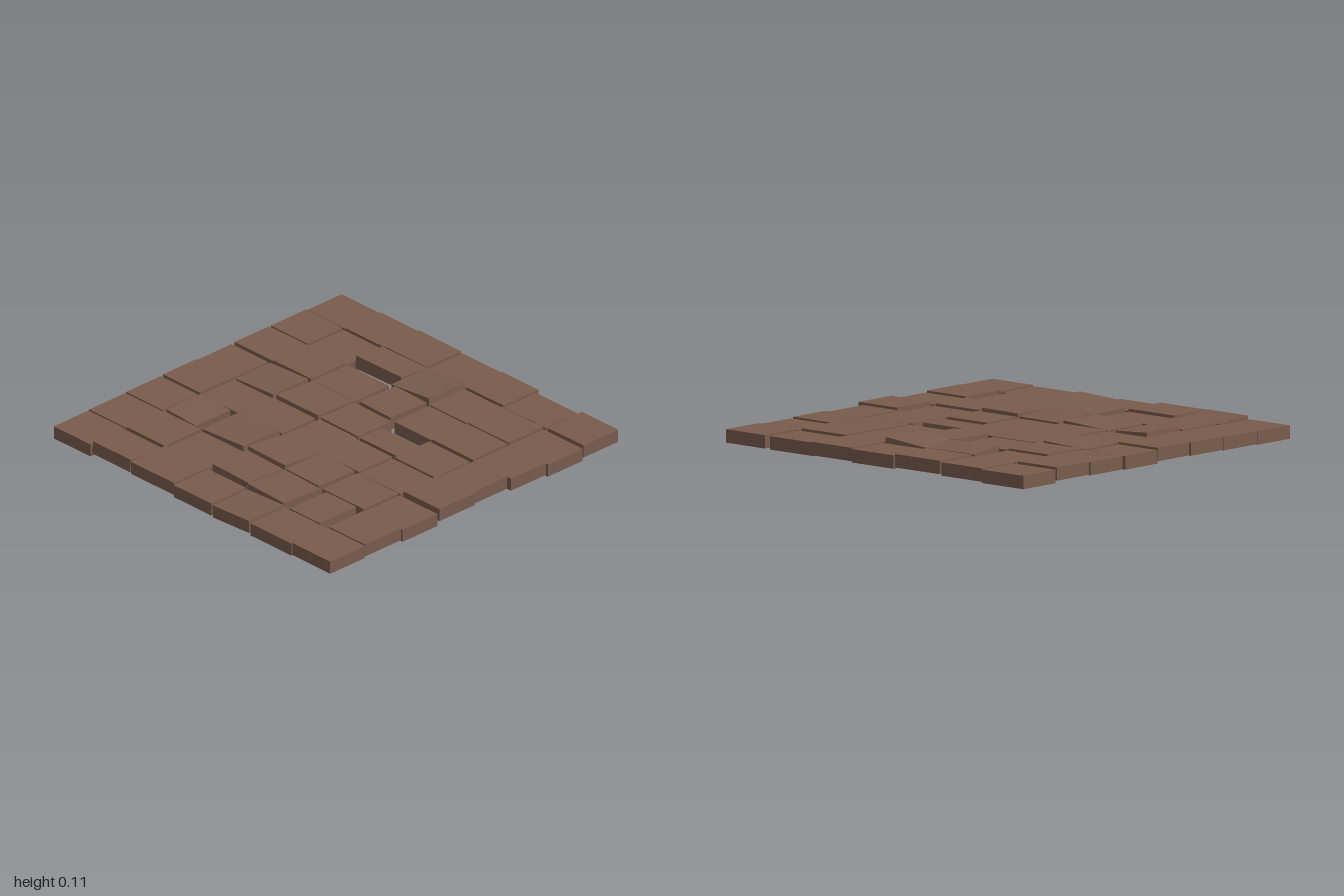
import * as THREE from 'three';

// Edges of the seven columns (x) and eight rows (z)
const COLS = [[-0.995, -0.73], [-0.72, -0.45], [-0.44, -0.14], [-0.13, 0.14], [0.15, 0.415], [0.42, 0.715], [0.725, 0.995]];
const ROWS = [[-1, -0.76], [-0.745, -0.505], [-0.5, -0.26], [-0.24, 0], [0.01, 0.24], [0.255, 0.495], [0.5, 0.75], [0.755, 0.995]];
const THICKNESS = 0.068;

// Tiles that are shifted, trimmed or tipped; keys are "row,column"
const ODD = {
  '0,0': { x: [-1, -0.72] },
  '0,3': { x: [-0.13, 0.15] },
  '0,5': { z: [-0.98, -0.76] },
  '0,6': { x: [0.73, 0.99] },
  '1,2': { z: [-0.75, -0.565], x: [-0.445, -0.13], yaw: 0.025, pitch: -0.1, y: 0.06 },
  '1,3': { z: [-0.76, -0.51], roll: 0.09, y: 0.062 },
  '1,6': { x: [0.72, 1], y: 0.037 },
  '2,0': { x: [-1, -0.72] },
  '2,3': { x: [-0.1, 0.13], z: [-0.5, -0.26], yaw: -0.03, y: 0.055 },
  '2,6': { x: [0.73, 0.99], y: 0.045 },
  '3,0': { x: [-1, -0.74] },
  '3,1': { roll: 0.05, y: 0.05 },
  '3,2': { z: [-0.255, -0.01], pitch: -0.05, y: 0.05 },
  '3,3': { z: [-0.25, -0.02], yaw: -0.015 },
  '3,4': { z: [-0.17, -0.02], y: 0.04 },
  '3,6': { x: [0.73, 0.96], z: [-0.26, -0.01], y: 0.045 },
  '4,3': { z: [-0.01, 0.235], yaw: -0.01 },
  '4,6': { x: [0.73, 0.99], z: [-0.01, 0.235], y: 0.058 },
  '5,1': { x: [-0.705, -0.495], roll: -0.06, y: 0.055 },
  '5,2': { x: [-0.45, -0.155], z: [0.24, 0.49], roll: 0.06, y: 0.055 },
  '5,3': { z: [0.245, 0.485], yaw: -0.02, pitch: -0.08, y: 0.058 },
  '5,4': { x: [0.16, 0.405], z: [0.26, 0.5], yaw: -0.03, y: 0.06 },
  '6,1': { x: [-0.725, -0.45] },
  '6,3': { x: [-0.125, 0.14], z: [0.5, 0.735], yaw: -0.04, y: 0.06, pitch: -0.03 },
  '6,4': { x: [0.145, 0.415], z: [0.505, 0.75], yaw: -0.045, y: 0.058, pitch: -0.03 },
  '6,5': { x: [0.45, 0.665] },
  '6,6': { x: [0.73, 0.99] },
  '7,1': { z: [0.77, 0.99], pitch: -0.07, y: 0.05 },
  '7,2': { x: [-0.44, -0.13], y: 0.054 },
  '7,3': { x: [-0.13, 0.14], y: 0.042 },
  '7,4': { x: [0.15, 0.41], roll: 0.05, y: 0.043 },
};

export function createModel() {
  const model = new THREE.Group();
  model.name = 'tiledFloor';
  const brown = new THREE.MeshStandardMaterial({ color: 0x795c4d });
  brown.name = 'brown';
  const unitBox = new THREE.BoxGeometry(1, 1, 1);

  ROWS.forEach((rowEdges, r) => {
    const row = new THREE.Group();
    row.name = `tileRow${r + 1}`;
    COLS.forEach((colEdges, c) => {
      const { x = colEdges, z = rowEdges, yaw = 0, pitch = 0, roll = 0,
        // ordinary tiles sit slightly unevenly
        y = 0.044 + (((r * 5 + c * 3) % 7) - 3) * 0.002 } = ODD[`${r},${c}`] || {};
      const tile = new THREE.Mesh(unitBox, brown);
      tile.name = `tile${c + 1}`;
      tile.scale.set(x[1] - x[0], THICKNESS, z[1] - z[0]);
      tile.position.set((x[0] + x[1]) / 2, y, (z[0] + z[1]) / 2);
      tile.rotation.set(pitch, yaw, roll);
      row.add(tile);
    });
    model.add(row);
  });
  return model;
}
